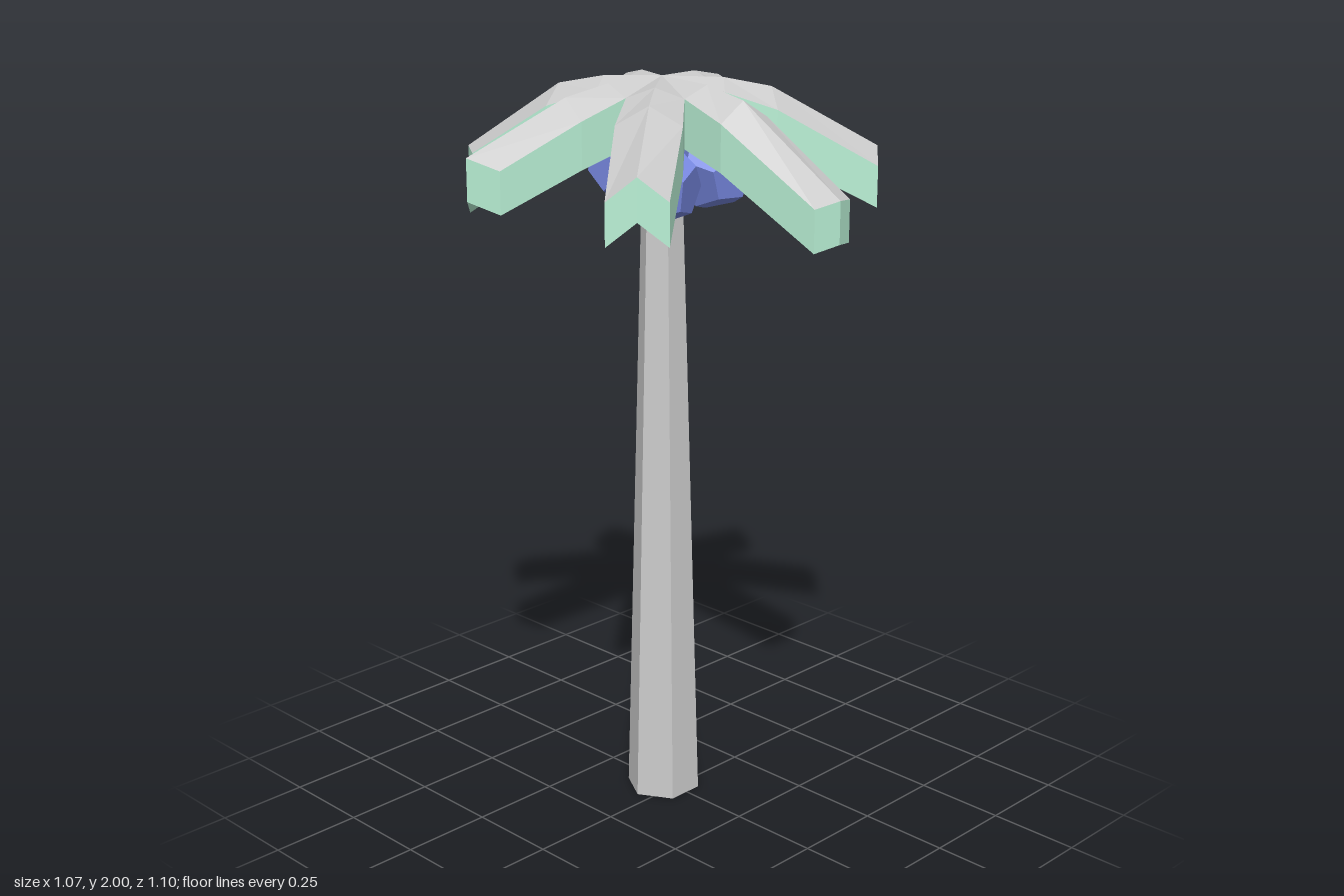
import * as THREE from 'three';

const CX = -0.04, CZ = 0.005; // trunk axis
const mat = (color) => new THREE.MeshStandardMaterial({ color, flatShading: true });

// Builds a geometry from quads/triangles listed as corner arrays (counter-clockwise)
function fromFaces(faces) {
  const pos = [];
  for (const f of faces) {
    for (let i = 1; i < f.length - 1; i++) {
      for (const p of [f[0], f[i], f[i + 1]]) pos.push(p.x, p.y, p.z);
    }
  }
  const g = new THREE.BufferGeometry();
  g.setAttribute('position', new THREE.Float32BufferAttribute(pos, 3));
  g.computeVertexNormals();
  return g;
}

// Tip of each frond: ridge reach, left reach, right reach, ridge y, left y, right y, sideways bend
const TIPS = [
  [0.575, 0.54, 0.56, 1.757, 1.745, 1.745, 0.03],
  [0.562, 0.554, 0.549, 1.81, 1.77, 1.77, 0],
  [0.564, 0.51, 0.51, 1.832, 1.78, 1.79, 0],
  [0.523, 0.477, 0.478, 1.84, 1.79, 1.79, 0],
  [0.543, 0.497, 0.51, 1.79, 1.785, 1.765, 0],
  [0.561, 0.51, 0.515, 1.845, 1.82, 1.80, 0],
  [0.524, 0.527, 0.523, 1.842, 1.785, 1.78, 0],
];

function makeFrond(tip, angle, topMat, underMat) {
  const c = Math.cos(angle), s = Math.sin(angle);
  // u runs outward, v to the left of the frond
  const P = (u, v, y) => new THREE.Vector3(CX + u * c - v * s, y, CZ - u * s - v * c);
  const [tr, tl, trr, ty, tly, try_, bend] = tip;
  const valley = 0.168, half = Math.PI / 7;
  const vu = valley * Math.cos(half), vv = valley * Math.sin(half);

  // Cross-sections [left edge, ridge, right edge] from crown to tip
  const top = [
    [P(vu, vv, 1.965), P(0.158, 0, 1.993), P(vu, -vv, 1.965)],
    [P(0.285, 0.083, 1.92), P(0.282, 0, 1.968), P(0.285, -0.083, 1.92)],
    [P(tl, 0.077 + bend, tly), P(tr, bend, ty), P(trr, -0.077 + bend, try_)],
  ];
  const thick = [0.125, 0.12, 0.108];
  const low = top.map((row, j) => row.map((p) => p.clone().setY(p.y - thick[j])));
  const apex = P(0, 0, 2), apexLow = P(0, 0, 1.88);

  const upper = [[apex, top[0][1], top[0][0]], [apex, top[0][2], top[0][1]]];
  const under = [[apexLow, low[0][0], low[0][1]], [apexLow, low[0][1], low[0][2]]];
  for (let j = 0; j < 2; j++) {
    const [a, b, d, e] = [top[j], top[j + 1], low[j], low[j + 1]];
    for (let k = 0; k < 2; k++) {
      upper.push([a[k], a[k + 1], b[k + 1], b[k]]);
      under.push([d[k], e[k], e[k + 1], d[k + 1]]);
    }
    under.push([a[0], b[0], e[0], d[0]]); // left side
    under.push([a[2], d[2], e[2], b[2]]); // right side
  }
  // End face
  for (let k = 0; k < 2; k++) under.push([top[2][k], top[2][k + 1], low[2][k + 1], low[2][k]]);

  const frond = new THREE.Group();
  frond.name = 'frond';
  const t = new THREE.Mesh(fromFaces(upper), topMat);
  t.name = 'frondTop';
  const b = new THREE.Mesh(fromFaces(under), underMat);
  b.name = 'frondUnderside';
  frond.add(t, b);
  return frond;
}

export function createModel() {
  const model = new THREE.Group();
  model.name = 'palmTree';
  const grey = mat(0xcccccc), green = mat(0xb9f0d5), blue = mat(0x7585dd);

  // Tapered six-sided trunk
  const trunk = new THREE.Mesh(new THREE.CylinderGeometry(0.05, 0.102, 1.9, 6), grey);
  trunk.name = 'trunk';
  trunk.position.set(CX, 0.95, CZ);
  model.add(trunk);

  // Crown of seven fronds
  const crown = new THREE.Group();
  crown.name = 'crown';
  TIPS.forEach((tip, i) => crown.add(makeFrond(tip, (i * 2 * Math.PI) / 7, grey, green)));
  model.add(crown);

  // Coconuts around the trunk top
  const nut = new THREE.DodecahedronGeometry(0.107);
  const spots = [[0.057, 1.748, 0.11, 0.4], [0.022, 1.748, -0.12, 1.3], [-0.16, 1.757, 0.01, 2.2]];
  for (const [x, y, z, turn] of spots) {
    const m = new THREE.Mesh(nut, blue);
    m.name = 'coconut';
    m.position.set(x, y, z);
    m.rotation.set(turn, turn * 0.7, 0.3);
    model.add(m);
  }
  return model;
}
